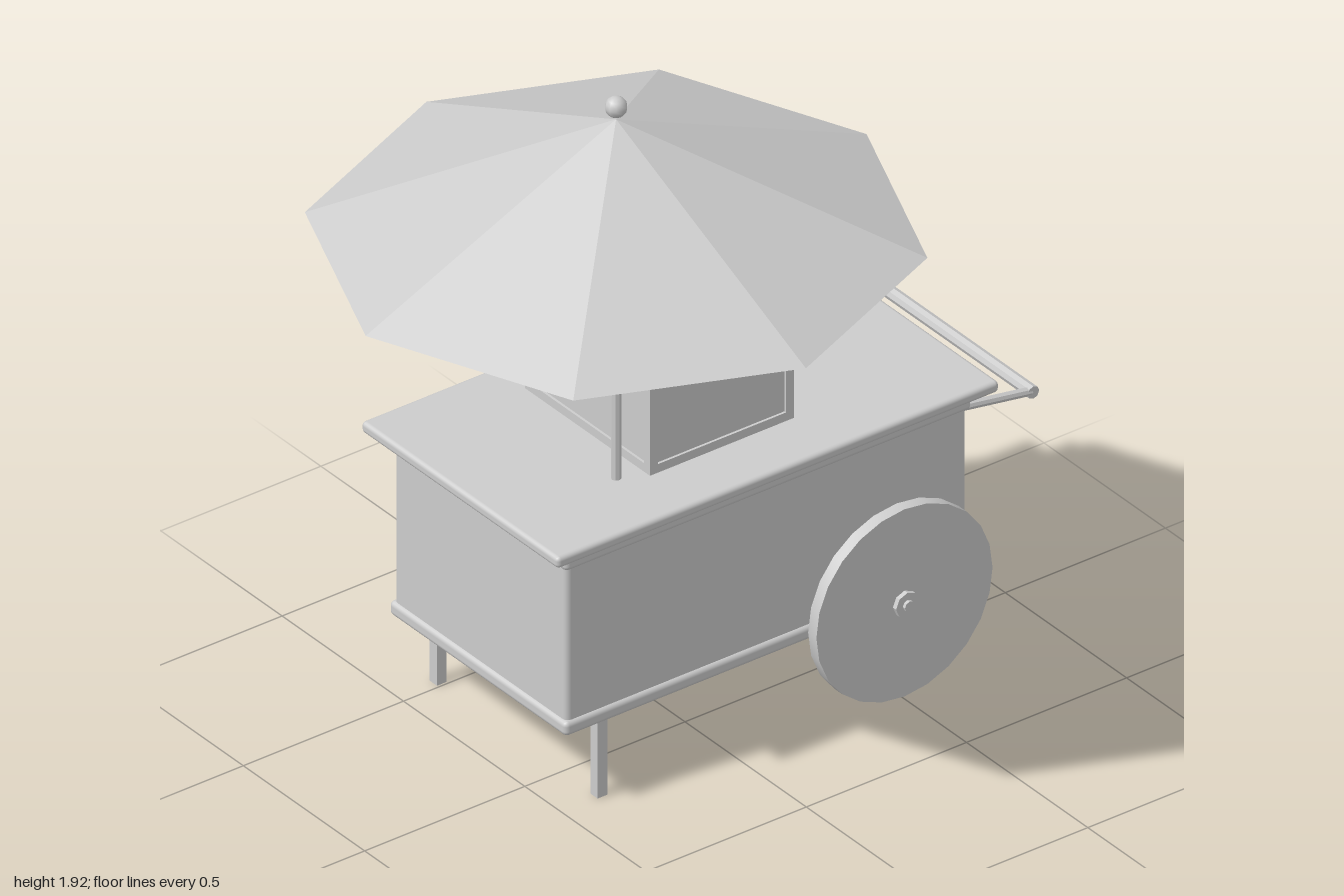
import * as THREE from 'three';
import { toCreasedNormals } from 'three/addons/utils/BufferGeometryUtils.js';
import { RoundedBoxGeometry } from 'three/addons/geometries/RoundedBoxGeometry.js';

export function createModel() {
  const cart = new THREE.Group();
  cart.name = 'vendorCart';
  const grey = new THREE.MeshStandardMaterial({ color: 0xcccccc, side: THREE.DoubleSide });
  grey.name = 'light grey';

  const add = (name, geometry, x = 0, y = 0, z = 0) => {
    const mesh = new THREE.Mesh(geometry, grey);
    mesh.name = name;
    mesh.position.set(x, y, z);
    cart.add(mesh);
    return mesh;
  };
  // Box given by its limits on each axis, optionally with rounded edges
  const block = (name, [x0, x1], [y0, y1], [z0, z1], r = 0) => {
    const size = [x1 - x0, y1 - y0, z1 - z0];
    const geo = r ? new RoundedBoxGeometry(...size, 2, r) : new THREE.BoxGeometry(...size);
    return add(name, geo, (x0 + x1) / 2, (y0 + y1) / 2, (z0 + z1) / 2);
  };
  // Round bar between two points
  const bar = (name, a, b, r, sides = 8) => {
    const p = new THREE.Vector3(...a), q = new THREE.Vector3(...b);
    const dir = q.clone().sub(p);
    const geo = toCreasedNormals(new THREE.CylinderGeometry(r, r, dir.length(), sides), 0.6);
    const mesh = add(name, geo);
    mesh.position.copy(p).add(q).multiplyScalar(0.5);
    mesh.quaternion.setFromUnitVectors(new THREE.Vector3(0, 1, 0), dir.normalize());
    return mesh;
  };

  // Cart body with trims and counter
  block('body', [-0.545, 0.165], [0.25, 0.75], [-0.755, 0.495], 0.015);
  block('bottomTrim', [-0.555, 0.175], [0.23, 0.272], [-0.765, 0.505], 0.014);
  block('topTrim', [-0.555, 0.175], [0.715, 0.755], [-0.765, 0.505], 0.014);
  block('counterSupport', [-0.53, 0.15], [0.75, 0.77], [-0.74, 0.48]);
  block('counter', [-0.597, 0.215], [0.765, 0.798], [-0.82, 0.56], 0.012);

  // Front legs
  for (const x of [-0.522, 0.14])
    block('frontLeg', [x - 0.015, x + 0.015], [0, 0.24], [0.36, 0.39]);

  // Wheels, hubs and axle
  const wy = 0.277, wz = -0.505;
  bar('axle', [-0.64, wy, wz], [0.26, wy, wz], 0.015);
  for (const side of [-1, 1]) {
    const x = -0.191 + side * 0.412;
    bar('wheel', [x - 0.017, wy, wz], [x + 0.017, wy, wz], 0.275, 24);
    bar('hub', [x - 0.03, wy, wz], [x + 0.03, wy, wz], 0.036, 8);
  }

  // Push handle
  for (const x of [-0.5, 0.13]) bar('handleArm', [x, 0.705, -0.74], [x, 0.665, -0.98], 0.012);
  bar('handleGrip', [-0.517, 0.665, -0.982], [0.14, 0.665, -0.982], 0.018);

  // Display case: panels held in a square frame
  const cx = [-0.447, 0.067], cz = [-0.29, 0.16], cy = [0.817, 1.385], t = 0.025, inset = 0.007;
  block('casePanels', [cx[0] + inset, cx[1] - inset], [cy[0] + inset, cy[1] - inset], [cz[0] + inset, cz[1] - inset]);
  const ends = ([a, b]) => [[a, a + t], [b - t, b]];
  for (const xs of ends(cx)) for (const zs of ends(cz)) block('casePost', xs, cy, zs);
  for (const ys of ends(cy)) {
    for (const zs of ends(cz)) block('caseRail', cx, ys, zs);
    for (const xs of ends(cx)) block('caseRail', xs, ys, cz);
  }
  block('caseRoofLip', [-0.444, 0.064], [1.37, 1.405], [-0.287, 0.157]);
  block('caseRoof', [-0.457, 0.077], [1.395, 1.457], [-0.301, 0.17], 0.014);

  // Parasol
  const pz = 0.215;
  bar('parasolPole', [0, 0.77, pz], [0, 1.64, pz], 0.013);
  const canopy = new THREE.ConeGeometry(0.782, 0.34, 8, 1, true).toNonIndexed();
  canopy.computeVertexNormals();
  add('parasolCanopy', canopy, 0, 1.682, pz);
  add('parasolFinial', new THREE.SphereGeometry(0.029, 10, 8), 0, 1.889, pz);

  return cart;
}
